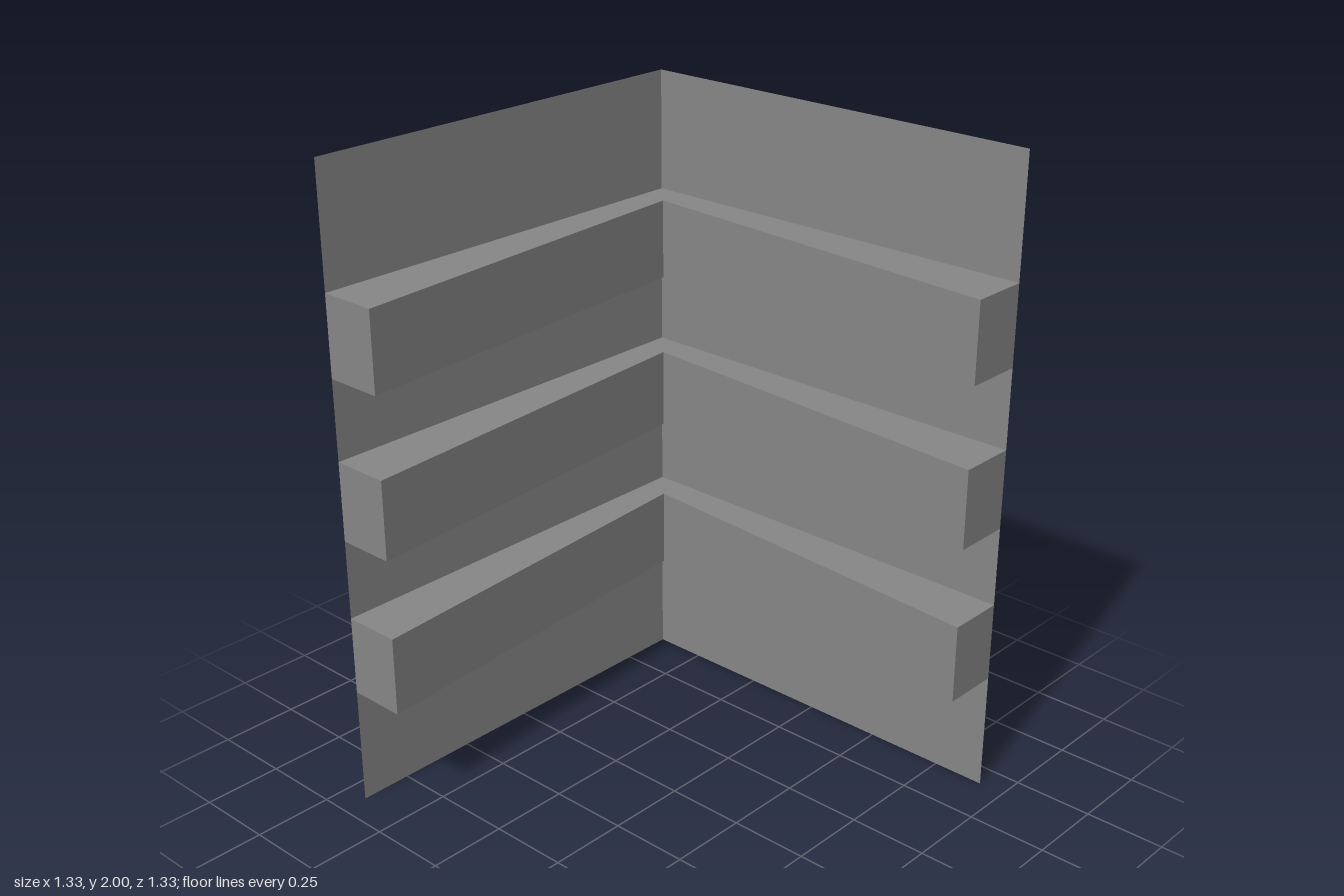
import * as THREE from 'three';

const H = 2 / 3;        // half width of the folded sheet
const INNER = -0.574;   // inner corner of a pleat
const TIP = -0.482;     // pleat depth at the free ends

// Plan outlines, as [x, z]
const outer = [[-H, H], [-H, -H], [H, -H]];
const inner = [[-H, H], [TIP, H], [INNER, INNER], [H, TIP], [H, -H]];

export function createModel() {
  const group = new THREE.Group();
  const material = new THREE.MeshStandardMaterial({
    color: 0x878787, flatShading: true, side: THREE.DoubleSide,
  });

  const add = (name, geometry) => {
    const mesh = new THREE.Mesh(geometry, material);
    mesh.name = name;
    group.add(mesh);
    return mesh;
  };

  // Upright sheet following a plan outline
  const wall = (name, plan, y0, y1) => {
    const pos = [];
    for (let i = 0; i < plan.length - 1; i++) {
      const [ax, az] = plan[i], [bx, bz] = plan[i + 1];
      pos.push(ax, y0, az, bx, y0, bz, bx, y1, bz);
      pos.push(ax, y0, az, bx, y1, bz, ax, y1, az);
    }
    const g = new THREE.BufferGeometry();
    g.setAttribute('position', new THREE.Float32BufferAttribute(pos, 3));
    g.computeVertexNormals();
    add(name, g);
  };

  // Level sheet joining the outer wall to the pleat
  const ledgeShape = new THREE.Shape(
    [...inner, [-H, -H]].map(([x, z]) => new THREE.Vector2(x, z)));
  const ledge = (name, y) => {
    const g = new THREE.ShapeGeometry(ledgeShape).rotateX(Math.PI / 2);
    add(name, g).position.y = y;
  };

  // Three hollow pleats, open at the back, between four outer bands
  let bottom = 0;
  for (const y of [0.376, 0.876, 1.376]) {
    const top = y + 0.249;
    wall('outerBand', outer, bottom, y);
    ledge('pleatUnderside', y);
    wall('pleatFace', inner, y, top);
    ledge('pleatTop', top);
    bottom = top;
  }
  wall('outerBand', outer, bottom, 2);

  return group;
}
